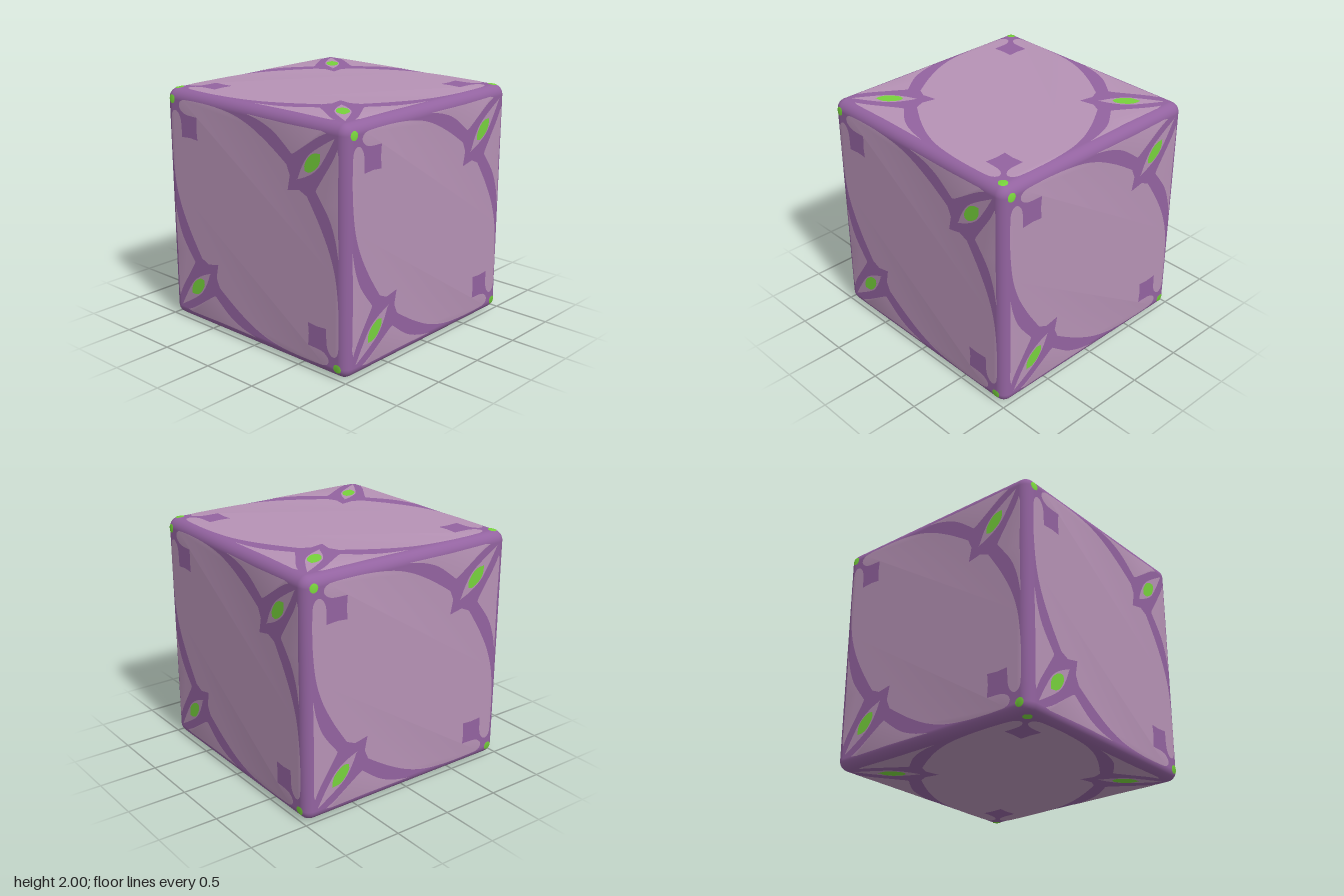
import * as THREE from 'three';
import { RoundedBoxGeometry } from 'three/addons/geometries/RoundedBoxGeometry.js';

const HALF = 0.996, RADIUS = 0.085, LIFT = 0.004;

const flip = (pts) => pts.map(([u, v]) => [-u, -v]);
const swap = (pts) => pts.map(([u, v]) => [v, u]);
const smooth = (pts, n = 24) =>
  new THREE.SplineCurve(pts.map(([u, v]) => new THREE.Vector2(u, v)))
    .getPoints(n).map((p) => [p.x, p.y]);

// Thin plate drawn on the front face, wrapped onto the rounded body
function plate(outlines) {
  const shapes = outlines.map((o) => new THREE.Shape(o.map(([u, v]) => new THREE.Vector2(u, v))));
  const geo = new THREE.ShapeGeometry(shapes);
  const pos = geo.attributes.position, nor = geo.attributes.normal;
  const p = new THREE.Vector3(), q = new THREE.Vector3(), inner = HALF - RADIUS;
  for (let i = 0; i < pos.count; i++) {
    p.set(pos.getX(i), pos.getY(i), HALF);
    q.copy(p).clampScalar(-inner, inner);
    p.sub(q).normalize();
    nor.setXYZ(i, p.x, p.y, p.z);
    q.addScaledVector(p, RADIUS + LIFT);
    pos.setXYZ(i, q.x, q.y, q.z);
  }
  return geo;
}

// Large central panel: one quarter of its outline, mirrored over both diagonals
function centralPanel() {
  const quarter = [
    [0.61, -0.61], [0.7, -0.618],
    ...smooth([[0.8, -0.61], [0.805, -0.74], [0.83, -0.8], [0.87, -0.825], [0.91, -0.8],
      [0.925, -0.72], [0.925, -0.45], [0.9, -0.2], [0.84, 0], [0.75, 0.18], [0.67, 0.31], [0.61, 0.4]], 48),
    [0.53, 0.435], [0.41, 0.41],
  ];
  const acrossEyes = swap(quarter).reverse();
  const half = [...quarter, ...acrossEyes.slice(1)];
  return [[...half, ...flip(half.slice(1, -1)).map((p) => p)].length ? closeHalf(half) : half];
}

// Joins a half outline with its half-turn copy
function closeHalf(half) {
  return [...half.slice(0, -1), ...flip(half).slice(0, -1)];
}

// Three-sided panels beside each eye
function sidePanels() {
  const one = [
    ...smooth([[0.925, -0.03], [0.895, 0.12], [0.83, 0.28], [0.7, 0.455]], 14),
    ...smooth([[0.71, 0.48], [0.77, 0.57], [0.87, 0.72], [0.915, 0.81]], 10),
    [0.925, 0.76], [0.92, 0.4],
  ];
  return [one, swap(one), flip(one), flip(swap(one))];
}

// Pointed spindle running along the diagonal
function spindle(side) {
  const edge = smooth(side, 14);
  const one = [...edge, ...swap(edge).reverse().slice(1, -1)];
  return [one, flip(one)];
}

// Round studs at the other two corners
function cornerDots() {
  const dot = [];
  for (let i = 0; i < 14; i++) {
    const a = (i / 14) * Math.PI * 2;
    dot.push([-0.91 + 0.037 * Math.cos(a), 0.912 + 0.037 * Math.sin(a)]);
  }
  return [dot, flip(dot)];
}

export function createModel() {
  const purple = new THREE.MeshStandardMaterial({ color: 0x9363a0 });
  purple.name = 'purple';
  const mauve = new THREE.MeshStandardMaterial({ color: 0xb692b5 });
  mauve.name = 'mauve';
  const green = new THREE.MeshStandardMaterial({ color: 0x77d23c });
  green.name = 'green';

  const model = new THREE.Group();
  model.name = 'cube';
  const add = (parent, name, geo, mat) => {
    const mesh = new THREE.Mesh(geo, mat);
    mesh.name = name;
    parent.add(mesh);
    return mesh;
  };

  const size = HALF * 2;
  add(model, 'body', new RoundedBoxGeometry(size, size, size, 4, RADIUS), purple).position.y = 1;

  const parts = [
    ['centralPanel', plate(centralPanel()), mauve],
    ['sidePanels', plate(sidePanels()), mauve],
    ['eyeSurrounds', plate(spindle([[0.5, 0.51], [0.61, 0.555], [0.72, 0.63], [0.81, 0.755], [0.89, 0.89]])), mauve],
    ['cornerDots', plate(cornerDots()), green],
  ];
  // The eyes sit just above their surrounds
  const eyes = plate(spindle([[0.59, 0.595], [0.64, 0.59], [0.71, 0.635], [0.745, 0.69], [0.75, 0.755]]));
  eyes.translate(0, 0, 0.002);
  parts.push(['eyes', eyes, green]);

  // Face name with its turn about x, y and z
  const q = Math.PI / 2;
  const faces = [
    ['front', 0, 0, 0], ['right', 0, q, 0], ['back', 0, 2 * q, 0], ['left', 0, -q, 0],
    ['top', -q, 0, q], ['bottom', q, 0, 0],
  ];
  for (const [name, rx, ry, rz] of faces) {
    const face = new THREE.Group();
    face.name = name + 'Face';
    face.rotation.set(rx, ry, rz);
    face.position.y = 1;
    for (const [part, geo, mat] of parts) add(face, part, geo, mat);
    model.add(face);
  }
  return model;
}
